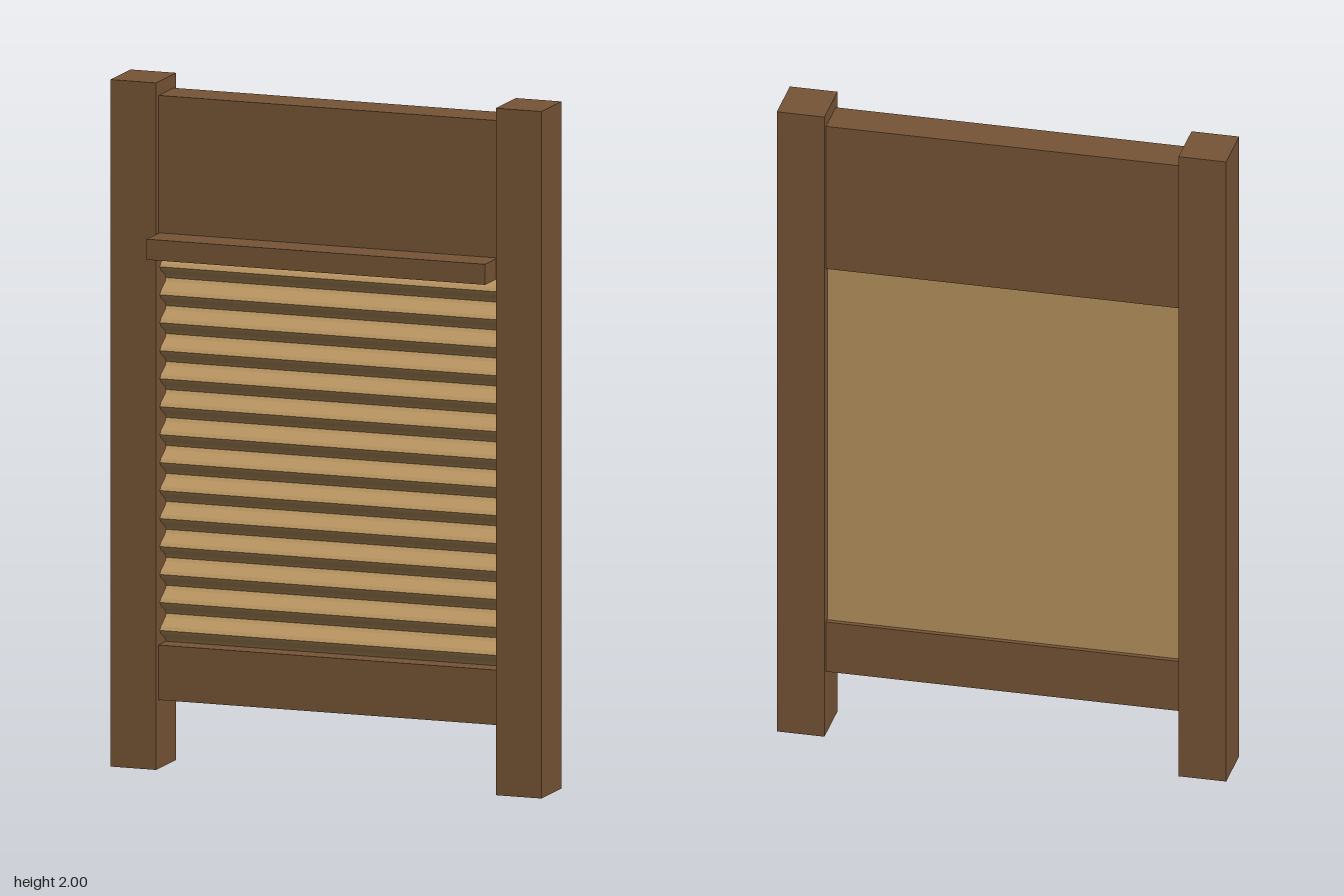
import * as THREE from 'three';

export function createModel() {
  const model = new THREE.Group();
  model.name = 'washboard';

  const darkWood = new THREE.MeshStandardMaterial({ color: 0x775536 });
  darkWood.name = 'dark wood';
  const paleWood = new THREE.MeshStandardMaterial({ color: 0xb8935f });
  paleWood.name = 'pale wood';

  // Box given by its limits on each axis
  function addBox(name, [x0, x1], [y0, y1], [z0, z1]) {
    const mesh = new THREE.Mesh(new THREE.BoxGeometry(x1 - x0, y1 - y0, z1 - z0), darkWood);
    mesh.position.set((x0 + x1) / 2, (y0 + y1) / 2, (z0 + z1) / 2);
    mesh.name = name;
    model.add(mesh);
  }

  // Frame: two posts that double as legs, joined by boards
  addBox('leftPost', [0.52, 0.66], [0, 2], [-0.12, 0.04]);
  addBox('rightPost', [-0.66, -0.52], [0, 2], [-0.12, 0.04]);
  addBox('topBoard', [-0.52, 0.52], [1.5, 1.96], [-0.1, 0.02]);
  addBox('bottomRail', [-0.52, 0.52], [0.2, 0.36], [-0.1, 0.02]);
  addBox('soapLedge', [-0.518, 0.518], [1.5, 1.56], [0.02, 0.12]);

  // Rubbing panel: flat back, wavy front, drawn in side profile and extruded across
  const bottom = 0.36, top = 1.5, back = -0.085;
  const ridges = 14, stepsPerRidge = 8, steps = ridges * stepsPerRidge;
  const profile = new THREE.Shape();
  profile.moveTo(-back, bottom);
  profile.lineTo(-back, top);
  for (let i = steps; i >= 0; i--) {
    const z = -0.015 - 0.025 * Math.cos((i / stepsPerRidge) * Math.PI * 2);
    profile.lineTo(-z, bottom + ((top - bottom) * i) / steps);
  }
  profile.closePath();
  const panelGeometry = new THREE.ExtrudeGeometry(profile, { depth: 1.04, bevelEnabled: false });
  panelGeometry.translate(0, 0, -0.52);
  panelGeometry.rotateY(Math.PI / 2); // profile x becomes -z
  const panel = new THREE.Mesh(panelGeometry, paleWood);
  panel.name = 'ridgedPanel';
  model.add(panel);

  return model;
}
